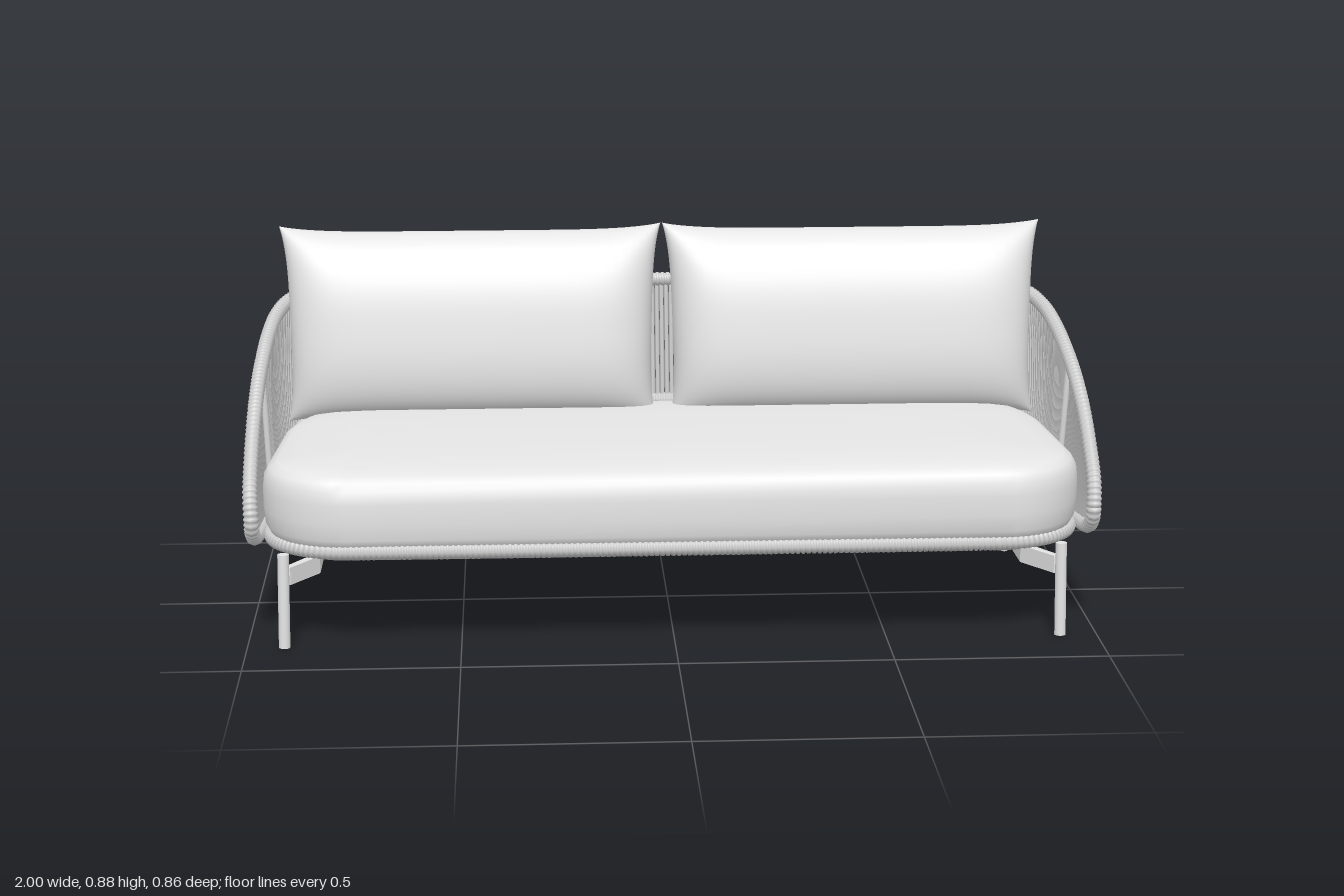
import * as THREE from 'three';
import { mergeGeometries, mergeVertices } from 'three/addons/utils/BufferGeometryUtils.js';

const V = (x, y, z) => new THREE.Vector3(x, y, z);
const mat = (name, color) => Object.assign(new THREE.MeshStandardMaterial({ color }), { name });

// Smooth surface from fn(i, j); its outside faces d/di x d/dj
function grid(ni, nj, fn) {
  const pos = [], idx = [];
  for (let i = 0; i <= ni; i++) for (let j = 0; j <= nj; j++) pos.push(...fn(i, j).toArray());
  for (let i = 0; i < ni; i++) for (let j = 0; j < nj; j++) {
    const a = i * (nj + 1) + j, b = a + nj + 1;
    idx.push(a, b, a + 1, b, b + 1, a + 1);
  }
  const g = new THREE.BufferGeometry();
  g.setAttribute('position', new THREE.Float32BufferAttribute(pos, 3));
  g.setIndex(idx);
  const m = mergeVertices(g, 1e-5);
  m.computeVertexNormals();
  return m;
}

// Rounded rectangle loop in plan, with front and back corner radii; height(z) gives y
function roundRect(hw, z0, z1, rFront, rBack, height, k = 8) {
  const pts = [], signs = [[1, 1], [-1, 1], [-1, -1], [1, -1]];
  signs.forEach(([sx, sz], c) => {
    const r = sz > 0 ? rFront : rBack;
    for (let i = 0; i <= k; i++) {
      const a = (c + i / k) * Math.PI / 2;
      const z = (sz > 0 ? z1 - r : z0 + r) + r * Math.sin(a);
      pts.push(V(sx * (hw - r) + r * Math.cos(a), height(z), z));
    }
  });
  return pts;
}

// Tube with ridges, like cord wound around a pipe
function wrappedTube(curve) {
  curve.arcLengthDivisions = 1000;
  curve.updateArcLengths();
  const segs = Math.round(curve.getLength() / 0.013) * 4;
  const g = new THREE.TubeGeometry(curve, segs, 0.0185, 8, true);
  const p = g.attributes.position, v = V(0, 0, 0);
  for (let i = 0; i <= segs; i++) {
    const c = curve.getPointAt((i % segs) / segs);
    const k = 0.82 + 0.18 * Math.abs(Math.sin(i * Math.PI / 4));
    for (let j = 0; j <= 8; j++) {
      v.fromBufferAttribute(p, i * 9 + j).sub(c).multiplyScalar(k).add(c);
      p.setXYZ(i * 9 + j, v.x, v.y, v.z);
    }
  }
  g.computeVertexNormals();
  return g;
}

// Many cords strung between two matching curves
function strands(from, to, n, push) {
  const list = [];
  for (let i = 0; i < n; i++) {
    const t = from.getUtoTmapping((i + 0.5) / n);
    const a = from.getPoint(t), b = to.getPoint(t);
    const mid = push(a.clone().lerp(b, 0.5));
    list.push(new THREE.TubeGeometry(new THREE.QuadraticBezierCurve3(a, mid, b), 3, 0.0058, 6));
  }
  return mergeGeometries(list);
}

export function createModel() {
  const model = new THREE.Group();
  model.name = 'sofa';
  const fabric = mat('cushion fabric', 0xe6e6e6);
  const metal = mat('frame metal', 0xe4e4e4);
  const rope = mat('woven rope', 0xcccccc);
  const under = mat('underside panel', 0xd0d0d0);
  under.side = THREE.DoubleSide;
  const add = (name, geo, m) => {
    const mesh = new THREE.Mesh(geo, m);
    mesh.name = name;
    model.add(mesh);
    return mesh;
  };
  const rod = (name, a, b, r) => {
    const mesh = add(name, new THREE.CylinderGeometry(r, r, a.distanceTo(b), 16), metal);
    mesh.position.copy(a).lerp(b, 0.5);
    mesh.quaternion.setFromUnitVectors(V(0, 1, 0), b.clone().sub(a).normalize());
  };

  // Woven shell: upper and lower edges, from the arm tip to the middle of the back
  const upperHalf = [
    [0.978, 0.32, 0.363], [0.98, 0.375, 0.343], [0.98, 0.44, 0.28], [0.978, 0.515, 0.19],
    [0.975, 0.575, 0.08], [0.97, 0.615, -0.02], [0.964, 0.645, -0.12], [0.952, 0.67, -0.22],
    [0.925, 0.688, -0.31], [0.872, 0.7, -0.375], [0.79, 0.708, -0.405], [0.4, 0.711, -0.41], [0, 0.711, -0.41]];
  const lowerHalf = [
    [0.978, 0.292, 0.356], [0.978, 0.258, 0.305], [0.975, 0.242, 0.21], [0.972, 0.238, 0.11],
    [0.97, 0.24, 0.03], [0.967, 0.252, -0.035], [0.96, 0.28, -0.1], [0.947, 0.318, -0.17],
    [0.922, 0.36, -0.24], [0.868, 0.395, -0.305], [0.785, 0.41, -0.335], [0.4, 0.412, -0.345], [0, 0.412, -0.345]];
  const both = half => [
    ...half.map(p => V(...p)),
    ...half.slice(0, -1).reverse().map(([x, y, z]) => V(-x, y, z))];
  const upper = both(upperHalf), lower = both(lowerHalf);
  add('shellRim', wrappedTube(new THREE.CatmullRomCurve3([...upper, ...lower.reverse()], true)), rope);
  const upperCurve = new THREE.CatmullRomCurve3(upper);
  const lowerCurve = new THREE.CatmullRomCurve3(lower.reverse());
  add('shellWeave', strands(upperCurve, lowerCurve, 300, m => {
    m.x *= 1.014;
    return m;
  }), rope);

  // Seat base: wrapped rim and the woven tray below it
  const rimY = z => 0.236 + 0.034 * z, trayY = z => 0.186 + 0.03 * z;
  const rim = new THREE.CatmullRomCurve3(roundRect(0.945, -0.307, 0.404, 0.19, 0.19, rimY), true);
  const inner = new THREE.CatmullRomCurve3(roundRect(0.83, -0.2, 0.27, 0.06, 0.06, trayY), true);
  add('baseRim', wrappedTube(rim), rope);
  add('trayWeave', strands(rim, inner, 400, m => {
    m.y -= 0.012;
    return m;
  }), rope);
  const panel = new THREE.ShapeGeometry(new THREE.Shape(
    roundRect(0.835, -0.205, 0.275, 0.06, 0.06, () => 0).map(p => new THREE.Vector2(p.x, p.z))));
  panel.rotateX(Math.PI / 2);
  const pp = panel.attributes.position;
  for (let i = 0; i < pp.count; i++) pp.setY(i, trayY(pp.getZ(i)));
  panel.computeVertexNormals();
  add('underPanel', panel, under);

  // Seat cushion: stacked rounded outlines, [inset, y], narrowing toward the back
  const seatProfile = [
    [0.367, 0.25], [0.04, 0.25], [0.015, 0.258], [0.004, 0.28], [0, 0.32], [0, 0.365], [0.004, 0.395],
    [0.015, 0.414], [0.035, 0.426], [0.08, 0.434], [0.16, 0.44], [0.26, 0.443], [0.367, 0.443]];
  const rings = seatProfile.map(([d, y]) => {
    const ring = roundRect(0.96 - d, -0.31 + d, 0.424 - d, Math.max(0.2 - d, 0), Math.max(0.25 - d, 0), () => y, 10);
    for (const p of ring) p.x *= 1 - 0.03 * THREE.MathUtils.smoothstep(0.15 - p.z, 0, 0.3);
    return ring;
  });
  add('seatCushion', grid(rings.length - 1, rings[0].length,
    (i, j) => rings[i][j % rings[i].length]), fabric);

  // Back cushions: leaning pillows with pointed corners
  for (const s of [-1, 1]) {
    const sheet = face => grid(40, 28, (i, j) => {
      const u = face * Math.sin((i / 20 - 1) * Math.PI / 2);
      const v = Math.sin((j / 14 - 1) * Math.PI / 2);
      const x = s * 0.473 + u * (0.447 + 0.016 * v ** 4 + 0.008 * v);
      const y = 0.64 + v * (0.222 + 0.016 * u ** 6);
      const puff = 0.104 * Math.sqrt(Math.max(1 - u ** 8, 0))
        * Math.sqrt(Math.max(1 - Math.abs(v) ** 2.7, 0));
      return V(x, y, -0.253 - 0.17 * (y - 0.645) + face * puff);
    });
    add(s > 0 ? 'leftBackCushion' : 'rightBackCushion', mergeGeometries([sheet(1), sheet(-1)]), fabric);
  }

  // Legs, bent side beams and shell struts, mirrored
  for (const s of [-1, 1]) {
    rod('frontLeg', V(s * 0.913, 0, 0.34), V(s * 0.91, 0.225, 0.333), 0.0135);
    rod('backLeg', V(s * 0.888, 0.005, -0.333), V(s * 0.89, 0.21, -0.272), 0.0135);
    const outline = [
      [0.915, 0.33], [0.858, 0.23], [0.858, -0.18], [0.9, -0.285],
      [0.88, -0.285], [0.832, -0.18], [0.832, 0.23], [0.895, 0.33]];
    const beam = new THREE.ExtrudeGeometry(
      new THREE.Shape(outline.map(([x, z]) => new THREE.Vector2(s * x, z))),
      { depth: 0.042, bevelEnabled: false });
    beam.rotateX(Math.PI / 2);
    const p = beam.attributes.position;
    for (let i = 0; i < p.count; i++) p.setY(i, p.getY(i) + 0.18 + 0.034 * p.getZ(i));
    beam.computeVertexNormals();
    add('sideBeam', beam, metal);
    rod('sideStrut', V(s * 0.96, 0.245, -0.005), V(s * 0.968, 0.6, 0.05), 0.007);
    rod('cornerStrut', V(s * 0.92, 0.235, -0.225), V(s * 0.91, 0.365, -0.262), 0.007);
  }
  rod('middleStrut', V(0, 0.23, -0.315), V(0, 0.41, -0.345), 0.007);

  // Lengthwise beams under the seat
  for (const z of [0.14, -0.11]) {
    add('longBeam', new THREE.BoxGeometry(1.68, 0.025, 0.055), metal).position.set(0, 0.172 + 0.03 * z, z);
  }
  return model;
}
